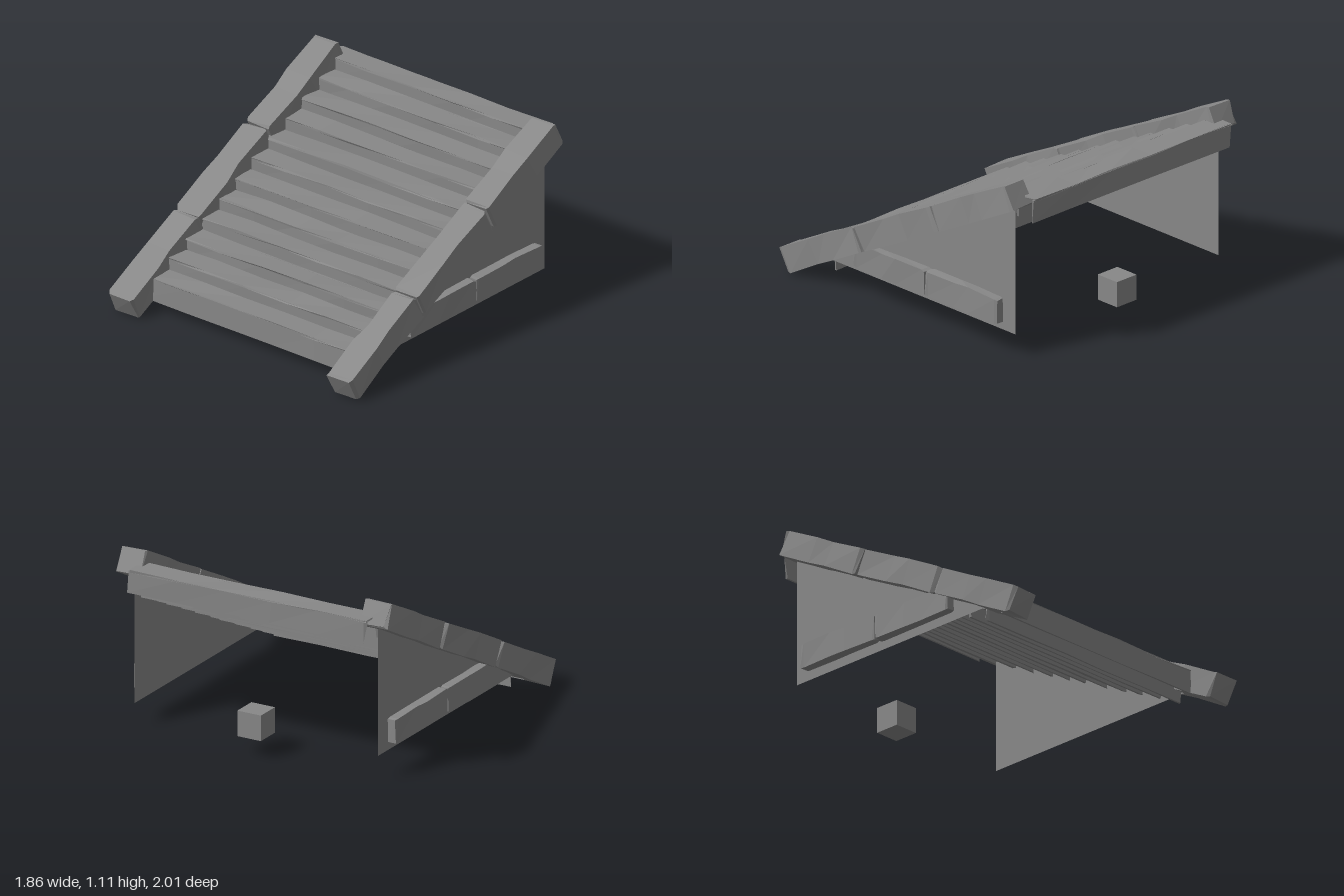
import * as THREE from 'three';

const material = new THREE.MeshStandardMaterial({ color: 0x888888, flatShading: true, side: THREE.DoubleSide });

// Repeatable noise in -1..1 from a position and a seed
function noise(x, y, z, seed) {
  const s = Math.sin(x * 127.1 + y * 311.7 + z * 74.7 + seed * 53.3) * 43758.5453;
  return (s - Math.floor(s)) * 2 - 1;
}

// Box whose corners are roughened like hewn wood; shared corners move together
function hewnBox(size, segments, rough, seed, shape) {
  const geometry = new THREE.BoxGeometry(...size, ...segments);
  const p = geometry.attributes.position;
  const v = new THREE.Vector3();
  for (let i = 0; i < p.count; i++) {
    v.fromBufferAttribute(p, i);
    const [a, b, c] = v.toArray().map((n) => Math.round(n * 1000) / 1000 + 0);
    if (shape) shape(v);
    v.x += noise(a, b, c, seed) * rough[0];
    v.y += noise(a, b, c, seed + 1) * rough[1];
    v.z += noise(a, b, c, seed + 2) * rough[2];
    p.setXYZ(i, v.x, v.y, v.z);
  }
  geometry.computeVertexNormals();
  return geometry;
}

function addMesh(parent, name, geometry, x = 0, y = 0, z = 0) {
  const mesh = new THREE.Mesh(geometry, material);
  mesh.name = name;
  mesh.position.set(x, y, z);
  parent.add(mesh);
  return mesh;
}

// Beam along z with slightly chamfered ends
function beam(width, height, length, rough, seed) {
  const chamfer = 0.02;
  return hewnBox([width, height, length], [1, 1, 5], rough, seed, (v) => {
    const fromEnd = length / 2 - Math.abs(v.z);
    if (fromEnd < 0.001) {
      v.x *= 0.9;
      v.y *= 0.93;
    } else if (fromEnd < length * 0.21) {
      v.z = Math.sign(v.z) * (length / 2 - chamfer);
    }
  });
}

export function createModel() {
  const model = new THREE.Group();
  model.name = 'woodenStairs';

  // Steps: hollow planks open below, with a front board, a tread and a back board
  const stepCount = 12;
  for (let i = 0; i < stepCount; i++) {
    const step = new THREE.Group();
    step.name = 'step' + (i + 1);
    step.position.set(-0.01, 0.22 + i * 0.0738, 0.65 - i * 0.15);
    const tread = hewnBox([1.6, 0.012, 0.148], [5, 1, 1], [0.02, 0.005, 0.006], i * 7 + 1);
    addMesh(step, 'tread', tread, 0, -0.005, 0.076);
    const front = hewnBox([1.6, 0.145, 0.012], [5, 1, 1], [0.02, 0.002, 0.003], i * 7 + 3);
    addMesh(step, 'frontBoard', front, 0, -0.075, 0.142);
    const back = hewnBox([1.6, 0.143, 0.012], [5, 1, 1], [0.02, 0.002, 0.003], i * 7 + 5);
    addMesh(step, 'backBoard', back, 0, -0.075, 0.007);
    model.add(step);
  }

  const pieces = [[1.06, 0.37], [0.364, -0.346], [-0.354, -1.058]];
  for (const side of [-1, 1]) {
    const label = side > 0 ? 'left' : 'right';

    // Sloping rail made of three beams
    const rail = new THREE.Group();
    rail.name = label + 'Rail';
    rail.position.set(side * 0.833, 0.565, 0.0275);
    rail.rotation.x = Math.atan2(0.97, 1.87);
    pieces.forEach(([front, back], i) => {
      const geometry = beam(0.172, 0.158, front - back, [0.01, 0.006, 0.006], 20 + side * 9 + i * 3);
      addMesh(rail, 'railBeam', geometry, 0, 0, (front + back) / 2);
    });
    model.add(rail);

    // Triangular side panel, drawn in (-z, y) and turned into the side plane
    const outline = new THREE.Shape([
      new THREE.Vector2(-0.66, 0.15),
      new THREE.Vector2(0.88, 0.15),
      new THREE.Vector2(0.88, 0.97),
    ]);
    const panel = addMesh(model, label + 'SidePanel', new THREE.ShapeGeometry(outline), side * 0.83);
    panel.rotation.y = Math.PI / 2;

    // Two planks along the foot of the panel
    [[0.41, -0.182], [-0.188, -0.785]].forEach(([front, back], i) => {
      const geometry = beam(0.056, 0.158, front - back, [0.006, 0.005, 0.004], 50 + side * 5 + i * 2);
      addMesh(model, label + 'FootPlank', geometry, side * 0.866, 0.28, (front + back) / 2);
    });
  }

  // Loose block behind the stairs
  addMesh(model, 'block', new THREE.BoxGeometry(0.16, 0.16, 0.16), 0, 0.2, -0.88);

  return model;
}
